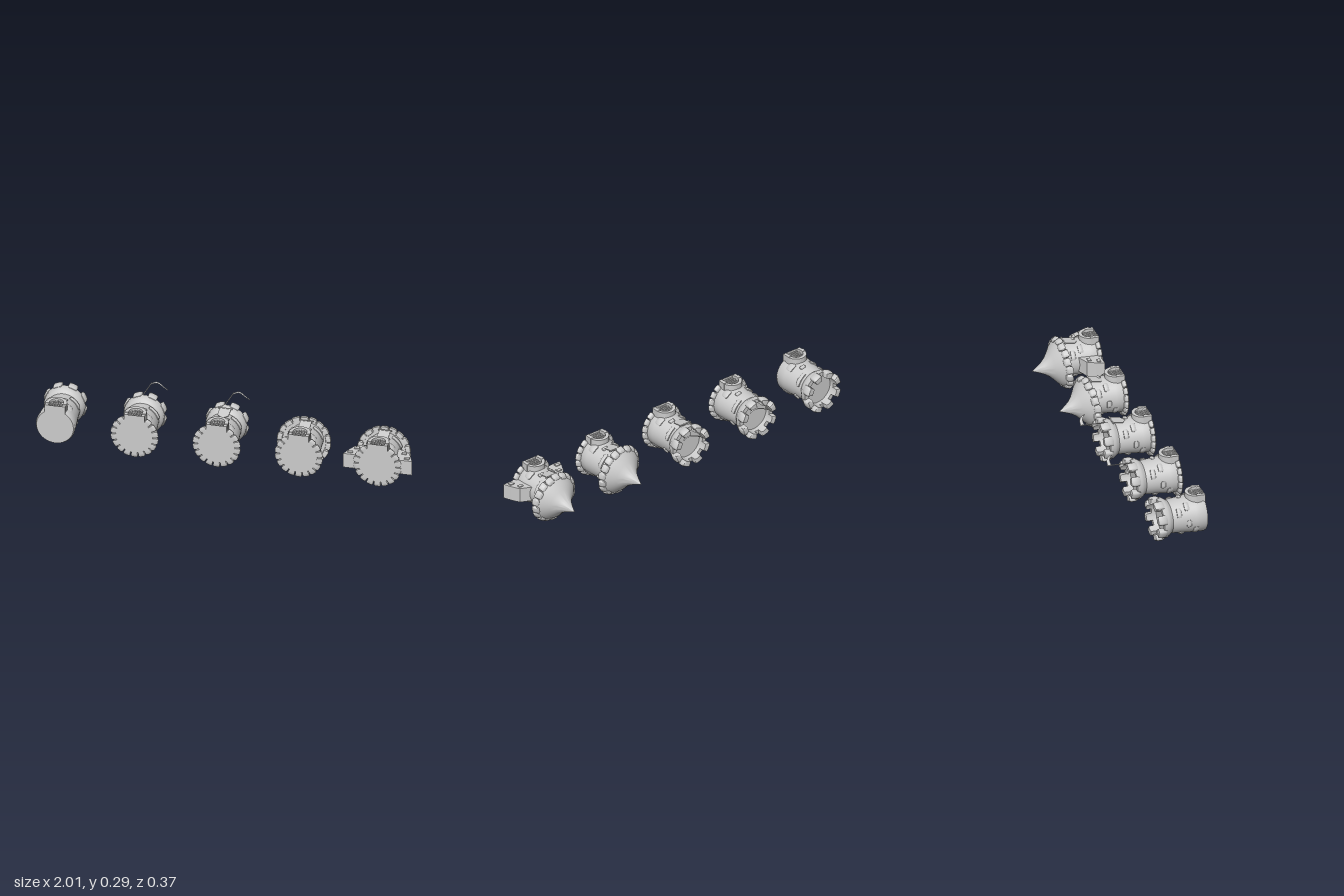
import * as THREE from 'three';
import { toCreasedNormals } from 'three/addons/utils/BufferGeometryUtils.js';

const grey = new THREE.MeshStandardMaterial({ color: 0xcccccc });
const thin = new THREE.MeshStandardMaterial({ color: 0xcccccc, side: THREE.DoubleSide });
const V = (list) => list.map(([x, y]) => new THREE.Vector2(x, y));
const rad = THREE.MathUtils.degToRad;

function add(group, name, geometry, x = 0, y = 0, z = 0, material = grey) {
  const mesh = new THREE.Mesh(geometry, material);
  mesh.name = name;
  mesh.position.set(x, y, z);
  group.add(mesh);
  return mesh;
}

const lathe = (points, sides = 40) => toCreasedNormals(new THREE.LatheGeometry(V(points), sides), 0.6);

// Soft-edged block bent around the tower axis; slope leans the block outward with height
function stone(angle, radius, y, w, h, d, slope = 0) {
  const g = new THREE.BoxGeometry(w, h, d, 8, 4, 2);
  const p = g.attributes.position;
  for (let i = 0; i < p.count; i++) {
    const u = Math.abs(2 * p.getX(i) / w) ** 8, v = Math.abs(2 * p.getY(i) / h) ** 8;
    const z = p.getZ(i) - (p.getZ(i) > 0 ? 0.2 * d * Math.max(u, v) : 0);
    const py = p.getY(i) * (1 - 0.12 * u);
    const a = angle + (p.getX(i) * (1 - 0.08 * v)) / radius;
    const r = radius + z + slope * py;
    p.setXYZ(i, Math.sin(a) * r, y + py, Math.cos(a) * r);
  }
  return toCreasedNormals(g, 0.9);
}

function addBricks(t) {
  // angle from the front, height, width, brick height
  const bricks = [
    [52, 0.164, 0.08, 0.024], [126, 0.142, 0.034, 0.02], [142, 0.048, 0.062, 0.048],
    [36, 0.07, 0.045, 0.042], [14, 0.122, 0.03, 0.02], [-55, 0.15, 0.05, 0.024],
    [-38, 0.105, 0.045, 0.026], [-95, 0.1, 0.04, 0.024], [-150, 0.13, 0.045, 0.025],
    [-125, 0.06, 0.05, 0.03], [180, 0.09, 0.035, 0.022],
  ];
  for (const [a, y, w, h] of bricks)
    add(t, 'wallBrick', stone(rad(a), 0.1 - y * 0.07, y, w, h, 0.022));
}

function archShape(r, straight) {
  const s = new THREE.Shape();
  s.moveTo(-r, 0);
  s.lineTo(r, 0);
  s.lineTo(r, straight);
  s.absarc(0, straight, r, 0, Math.PI, false);
  s.lineTo(-r, 0);
  return s;
}

function addDoor(t) {
  // Stone arch with a recessed barred gate
  const frame = archShape(0.054, 0.038);
  frame.holes.push(archShape(0.036, 0.038));
  const g = new THREE.ExtrudeGeometry(frame, { depth: 0.055, bevelEnabled: false, curveSegments: 16 });
  add(t, 'doorFrame', toCreasedNormals(g, 0.6), 0, 0, 0.069);
  add(t, 'doorPanel', new THREE.ExtrudeGeometry(archShape(0.037, 0.038), { depth: 0.035, bevelEnabled: false }), 0, 0, 0.069);
  for (let i = -2; i <= 2; i++) {
    const h = 0.038 + Math.sqrt(0.036 ** 2 - (i * 0.013) ** 2);
    add(t, 'gateBar', new THREE.BoxGeometry(0.006, h, 0.01), i * 0.013, h / 2, 0.108);
  }
  for (const y of [0.022, 0.05]) add(t, 'gateCrossbar', new THREE.BoxGeometry(0.07, 0.005, 0.008), 0, y, 0.108);
  // Jamb blocks standing proud of the arch
  for (const s of [-1, 1])
    add(t, 'doorJamb', new THREE.BoxGeometry(0.02, 0.024, 0.05), s * 0.046, 0.033, 0.1015);
}

function addBaseStones(t) {
  const n = 18;
  for (let i = 0; i < n; i++) {
    const a = (i / n) * Math.PI * 2;
    if (Math.cos(a) > 0.9) continue;
    add(t, 'baseStone', stone(a, 0.104, 0.011, 0.033, 0.022, 0.042, -0.4));
  }
}

function addBattlements(t) {
  const top = new THREE.Group();
  top.name = 'battlements';
  top.position.y = 0.185;
  t.add(top);
  // Flared parapet with a sunken floor
  add(top, 'parapet', lathe([[0.086, 0], [0.098, 0.016], [0.107, 0.03], [0.107, 0.058], [0.084, 0.058], [0.082, 0.035], [0, 0.035]]));
  for (let i = 0; i < 8; i++) {
    const a = ((i + 0.5) / 8) * Math.PI * 2;
    add(top, 'merlon', stone(a, 0.099, 0.065, 0.046, 0.05, 0.034));
  }
  return top;
}

function addRoof(t, dx, tilt) {
  const roof = new THREE.Group();
  roof.name = 'roof';
  roof.position.set(dx, 0.192, -0.02);
  roof.rotation.set(-0.1, 0, tilt);
  t.add(roof);
  // Concave cone with a drooping ring of shingles
  add(roof, 'roofCone', lathe([[0, -0.01], [0.12, -0.01], [0.124, 0.014], [0.103, 0.036], [0.077, 0.056],
    [0.053, 0.077], [0.034, 0.1], [0.017, 0.13], [0, 0.163]]));
  const n = 18;
  for (let i = 0; i < n; i++) {
    const y = (i % 2) * 0.004;
    add(roof, 'eaveShingle', stone((i / n) * Math.PI * 2, 0.124, y, 0.039, 0.034, 0.03, -0.35));
  }
}

function addFlag(t) {
  const curve = new THREE.LineCurve3(new THREE.Vector3(-0.012, 0.24, 0.103), new THREE.Vector3(0.004, 0.374, 0.103));
  add(t, 'flagPole', new THREE.TubeGeometry(curve, 1, 0.0028, 8));
  // Tapering pennant, arched toward the front
  const g = new THREE.PlaneGeometry(1, 1, 14, 2);
  const p = g.attributes.position;
  for (let i = 0; i < p.count; i++) {
    const u = p.getX(i) + 0.5, v = p.getY(i);
    p.setXYZ(i, 0.002 + 0.1 * u, 0.36 - 0.033 * u + 0.008 * Math.sin(u * 6) + v * 0.02 * (1 - 0.6 * u),
      0.103 + 0.02 * Math.sin(Math.PI * u));
  }
  g.computeVertexNormals();
  add(t, 'flag', g, 0, 0, 0, thin);
}

function addBanner(t, y) {
  // Hanging cloth that swings out from the wall toward its pointed tip
  const s = new THREE.Shape(V([[-0.03, 0], [-0.03, -0.055], [0, -0.076], [0.03, -0.055], [0.03, 0]]));
  const g = new THREE.ExtrudeGeometry(s, { depth: 0.003, bevelEnabled: false });
  const banner = add(t, 'banner', g, 0, y, 0.106);
  banner.rotation.x = 0.2;
  const rod = add(t, 'bannerRod', new THREE.CylinderGeometry(0.004, 0.004, 0.072, 10), 0, y, 0.107);
  rod.rotation.z = Math.PI / 2;
}

function addButtresses(t) {
  const shape = new THREE.Shape(V([[0.07, 0.012], [0.183, 0.012], [0.166, 0.055], [0.143, 0.098], [0.11, 0.112], [0.07, 0.13]]));
  for (const s of [0, 1]) {
    const b = new THREE.Group();
    b.name = s ? 'rightButtress' : 'leftButtress';
    b.rotation.y = s * Math.PI;
    add(b, 'buttressWall', new THREE.ExtrudeGeometry(shape, { depth: 0.082, bevelEnabled: false }), 0, 0, -0.041);
    for (const [x, y] of [[0.15, 0.035], [0.125, 0.08]])
      add(b, 'buttressBrick', new THREE.BoxGeometry(0.026, 0.018, 0.092), x, y, 0);
    t.add(b);
  }
}

function tower(name, x) {
  const t = new THREE.Group();
  t.name = name;
  // Each tower lies on its back: its top points to -z and its door to +y
  t.rotation.x = -Math.PI / 2;
  t.position.set(x, 0.165, 0.187);
  add(t, 'towerWall', lathe([[0, 0], [0.098, 0], [0.104, 0.012], [0.101, 0.06], [0.093, 0.13], [0.087, 0.2], [0, 0.2]]));
  addBricks(t);
  addDoor(t);
  return t;
}

export function createModel() {
  const model = new THREE.Group();
  model.name = 'towerSet';

  const plain = tower('plainTower', -0.89);
  addBattlements(plain).rotation.z = 0.04;

  const flagged = tower('flagTower', -0.47);
  addBaseStones(flagged);
  addBattlements(flagged);
  addFlag(flagged);

  const bannered = tower('bannerTower', -0.035);
  addBaseStones(bannered);
  addBattlements(bannered);
  addFlag(bannered);
  addBanner(bannered, 0.205);

  const roofed = tower('roofedTower', 0.4);
  addBaseStones(roofed);
  addRoof(roofed, -0.015, 0.13);
  addBanner(roofed, 0.178);

  const buttressed = tower('buttressedTower', 0.817);
  addBaseStones(buttressed);
  addRoof(buttressed, -0.007, 0.06);
  addBanner(buttressed, 0.178);
  addButtresses(buttressed);

  model.add(plain, flagged, bannered, roofed, buttressed);
  return model;
}
